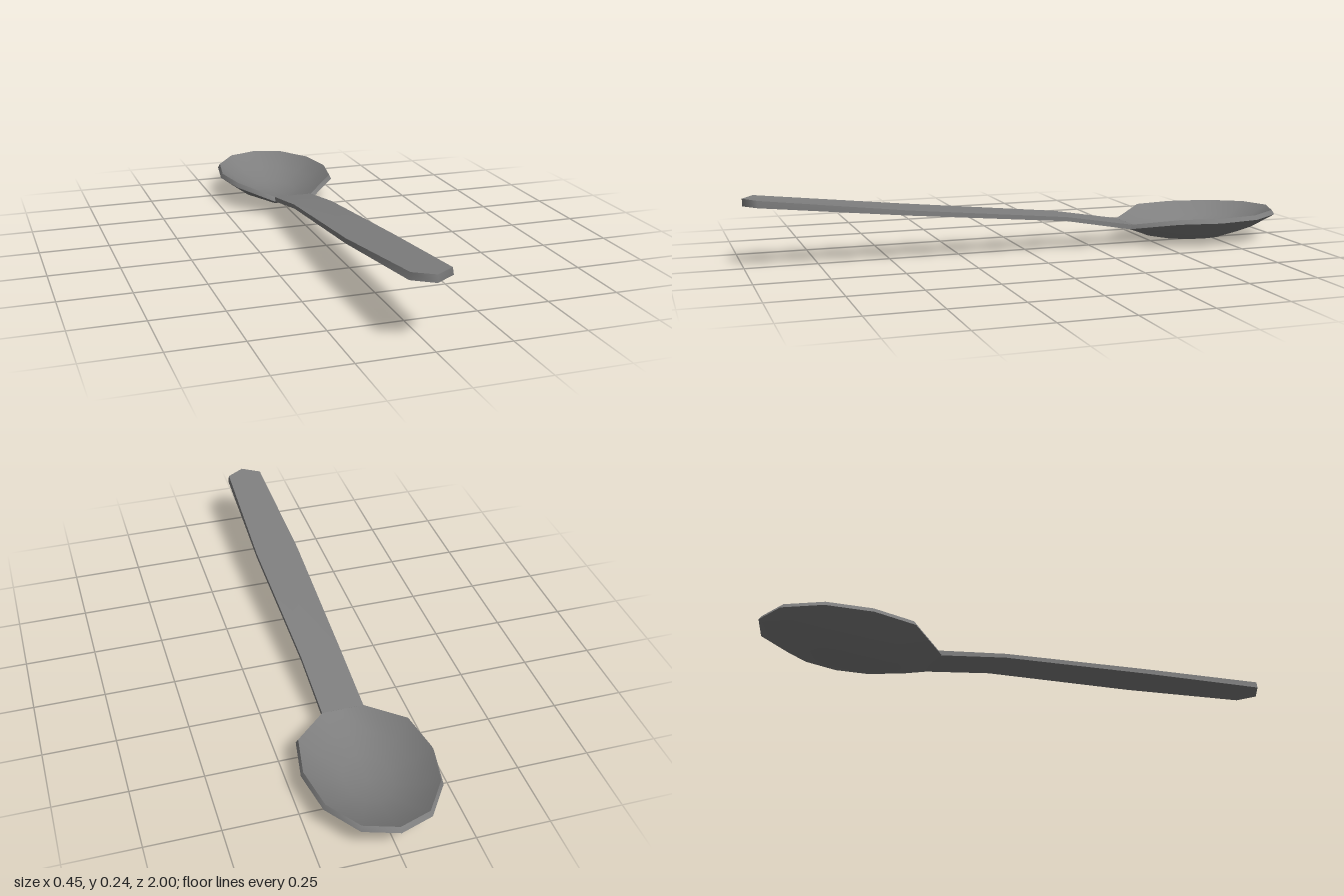
import * as THREE from 'three';
import { toCreasedNormals } from 'three/addons/utils/BufferGeometryUtils.js';

// Skin a series of closed rings with quads, skipping collapsed triangles;
// gentle bends are shaded smooth, the rim and handle edges stay sharp
function loft(rings) {
  const pos = [];
  const tri = (...pts) => {
    const t = new THREE.Triangle(...pts);
    if (t.getArea() > 1e-7) pts.forEach((p) => pos.push(p.x, p.y, p.z));
  };
  for (let i = 0; i < rings.length - 1; i++) {
    const n = rings[i].length;
    for (let j = 0; j < n; j++) {
      const k = (j + 1) % n;
      const a = rings[i][j], b = rings[i][k], c = rings[i + 1][k], d = rings[i + 1][j];
      tri(a, d, c);
      tri(a, c, b);
    }
  }
  const geo = new THREE.BufferGeometry();
  geo.setAttribute('position', new THREE.Float32BufferAttribute(pos, 3));
  return toCreasedNormals(geo, 1.2);
}

const V = (x, y, z) => new THREE.Vector3(x, y, z);

// Bowl: the rim outline shrinks towards the lowest point, outside then inside
function bowlGeometry() {
  const cz = -0.68;
  const side = [[0.115, 0.094, -0.96], [0.197, 0.093, -0.84], [0.224, 0.093, cz], [0.197, 0.093, -0.525]];
  const rim = [
    [0, 0.095, -1],
    ...side,
    [0.07, 0.063, -0.385], [0, 0.063, -0.385], [-0.082, 0.063, -0.385],
    ...side.map(([x, y, z]) => [-x, y, z]).reverse(),
  ];
  // [outline scale, share of rim height, lift]
  const steps = [
    [0, 0, 0], [0.37, 0.13, 0], [0.71, 0.48, 0], [1, 1, 0],
    [0.965, 1, 0.016], [0.69, 0.48, 0.016], [0.36, 0.13, 0.016], [0, 0, 0.016],
  ];
  return loft(steps.map(([s, h, lift]) =>
    rim.map(([x, y, z]) => V(x * s, y * h + lift, cz + (z - cz) * s))));
}

// Handle: six-point sections from the neck to the pointed end
function handleGeometry() {
  const section = ([z, left, right, bottom, top, tip = 0, flare = 0]) => [
    V(left, top, z), V(0, top, z + tip), V(right, top, z),
    V(right + flare, bottom, z), V(0, bottom - 0.002, z + tip), V(left - flare, bottom, z),
  ];
  const sections = [
    [-0.395, -0.079, 0.068, 0.061, 0.079],
    [-0.14, -0.078, 0.068, 0.107, 0.122],
    [0.45, -0.085, 0.077, 0.163, 0.181],
    [0.955, -0.067, 0.065, 0.215, 0.239, 0.043, 0.004],
  ].map(section);
  // Close an end by folding the bottom edge onto the top edge
  const fold = ([l, m, r]) => [l, m, r, r, m, l];
  return loft([fold(sections[0]), ...sections, fold(sections[3])]);
}

export function createModel() {
  const group = new THREE.Group();
  group.name = 'spoon';
  const material = new THREE.MeshStandardMaterial({ color: 0x7f7f7f });
  const parts = { bowl: bowlGeometry(), handle: handleGeometry() };
  for (const [name, geometry] of Object.entries(parts)) {
    const mesh = new THREE.Mesh(geometry, material);
    mesh.name = name;
    group.add(mesh);
  }
  return group;
}
